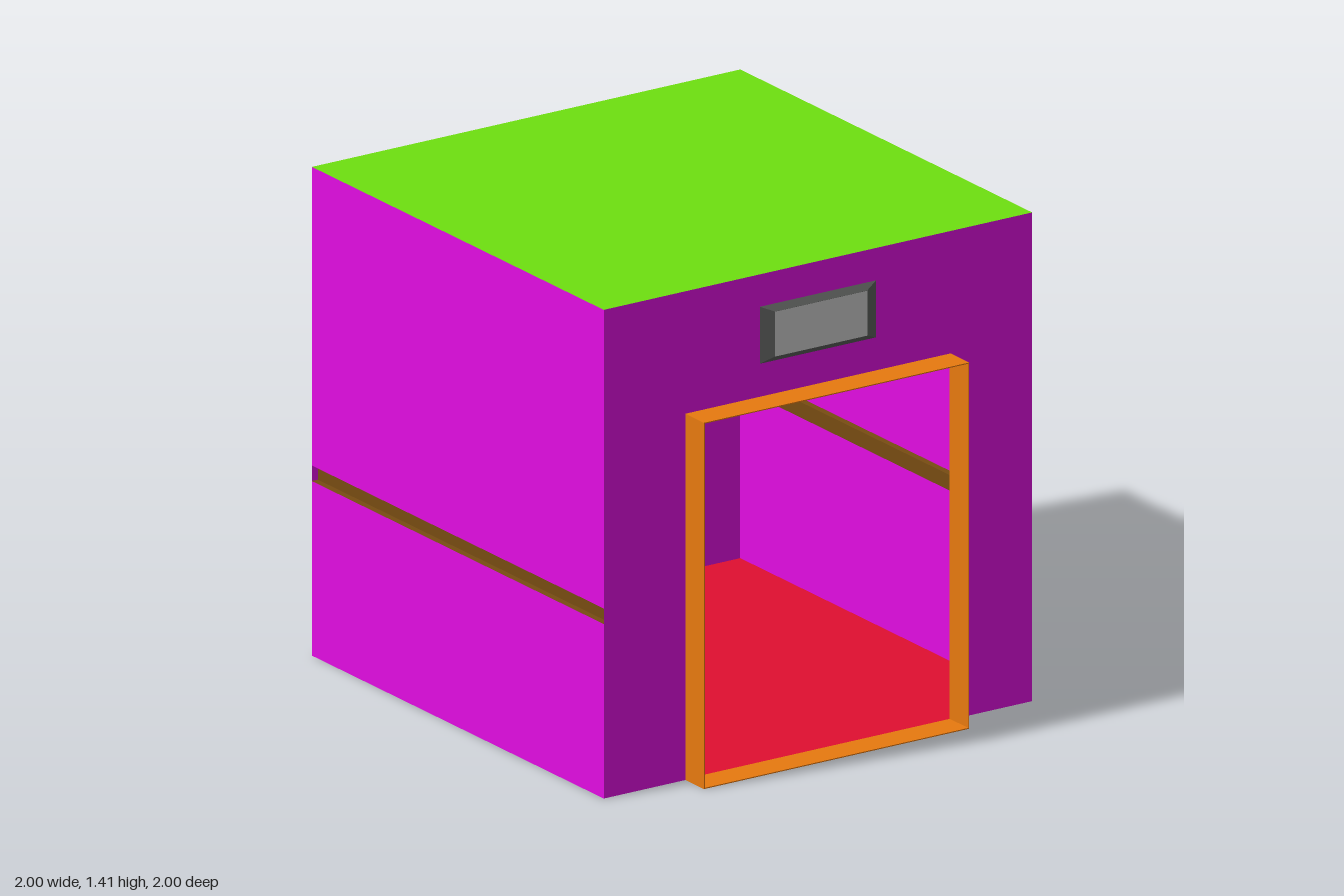
import * as THREE from 'three';

const S = Math.SQRT2, H = S / 2; // cube side and half side

const paint = (color) => new THREE.MeshStandardMaterial({ color, side: THREE.DoubleSide, flatShading: true });

// Rectangle outline, centred on x, between two heights
function rect(half, y0, y1, Type = THREE.Shape) {
  return new Type([[-half, y0], [half, y0], [half, y1], [-half, y1]].map(([x, y]) => new THREE.Vector2(x, y)));
}

function add(parent, name, geometry, material, x = 0, y = 0, z = 0) {
  const mesh = new THREE.Mesh(geometry, material);
  mesh.name = name;
  mesh.position.set(x, y, z);
  parent.add(mesh);
  return mesh;
}

// Flat panel with optional rectangular opening [half, y0, y1]
function panel(half, y0, y1, hole) {
  const shape = rect(half, y0, y1);
  if (hole) shape.holes.push(rect(...hole, THREE.Path));
  return new THREE.ShapeGeometry(shape);
}

// Rectangular rim of a given thickness, standing out from a wall
function rim(half, y0, y1, thick, depth) {
  const shape = rect(half, y0, y1);
  shape.holes.push(rect(half - thick, y0 + thick, y1 - thick, THREE.Path));
  return new THREE.ExtrudeGeometry(shape, { depth, bevelEnabled: false });
}

export function createModel() {
  const model = new THREE.Group();
  model.name = 'house';
  const house = new THREE.Group();
  house.name = 'rotatedHouse';
  house.rotation.y = Math.PI / 4;
  model.add(house);

  const wallPaint = paint(0xe20de2), trim = paint(0xe87a0f), brown = paint(0x784c12);
  const grey = paint(0xcccccc), dark = paint(0x5c5e5c);

  // Floor and roof
  add(house, 'floor', new THREE.PlaneGeometry(S, S), paint(0xe00f30)).rotation.x = -Math.PI / 2;
  add(house, 'roof', new THREE.PlaneGeometry(S, S), paint(0x6ee010), 0, S).rotation.x = -Math.PI / 2;

  // Door wall with its open doorway and thin deep surround
  const doorHalf = 0.438, doorTop = 1.06;
  add(house, 'doorWall', panel(H, 0, S, [doorHalf, 0.001, doorTop]), wallPaint, 0, 0, H);
  add(house, 'doorFrame', rim(doorHalf, 0, doorTop, 0.003, 0.09), trim, 0, 0, H);

  // Sign plate above the door: dark bevelled edge around a flat face
  const bevel = new THREE.BoxGeometry(0.384, 0.165, 0.015);
  const p = bevel.attributes.position;
  for (let i = 0; i < p.count; i++) {
    if (p.getZ(i) > 0) p.setXY(i, Math.sign(p.getX(i)) * 0.152, Math.sign(p.getY(i)) * 0.065);
  }
  bevel.computeVertexNormals();
  add(house, 'plateBevel', bevel, dark, 0, 1.238, H + 0.0075);
  add(house, 'plateFace', new THREE.PlaneGeometry(0.304, 0.13), grey, 0, 1.238, H + 0.016);

  // Window wall at the back
  const back = new THREE.Group();
  back.name = 'windowSide';
  back.rotation.y = Math.PI;
  house.add(back);
  const win = [0.484, 0.335, 1.08];
  add(back, 'windowWall', panel(H, 0, S, win), wallPaint, 0, 0, H);
  add(back, 'windowFrame', rim(...win, 0.012, 0.018), trim, 0, 0, H);
  add(back, 'windowPane', panel(...win), grey, 0, 0, H + 0.012);

  // Side walls, each split by a shallow brown groove
  const g0 = 0.505, g1 = 0.55, depth = 0.02;
  for (const side of [-1, 1]) {
    const wall = new THREE.Group();
    wall.name = side > 0 ? 'rearSideWall' : 'frontSideWall';
    wall.rotation.y = side * Math.PI / 2;
    house.add(wall);
    add(wall, 'lowerWall', panel(H, 0, g0), wallPaint, 0, 0, H);
    add(wall, 'upperWall', panel(H, g1, S), wallPaint, 0, 0, H);
    add(wall, 'grooveBack', panel(H, g0, g1), brown, 0, 0, H - depth);
    for (const y of [g0, g1]) {
      add(wall, 'grooveEdge', new THREE.PlaneGeometry(S, depth), brown, 0, y, H - depth / 2).rotation.x = Math.PI / 2;
    }
  }
  return model;
}
